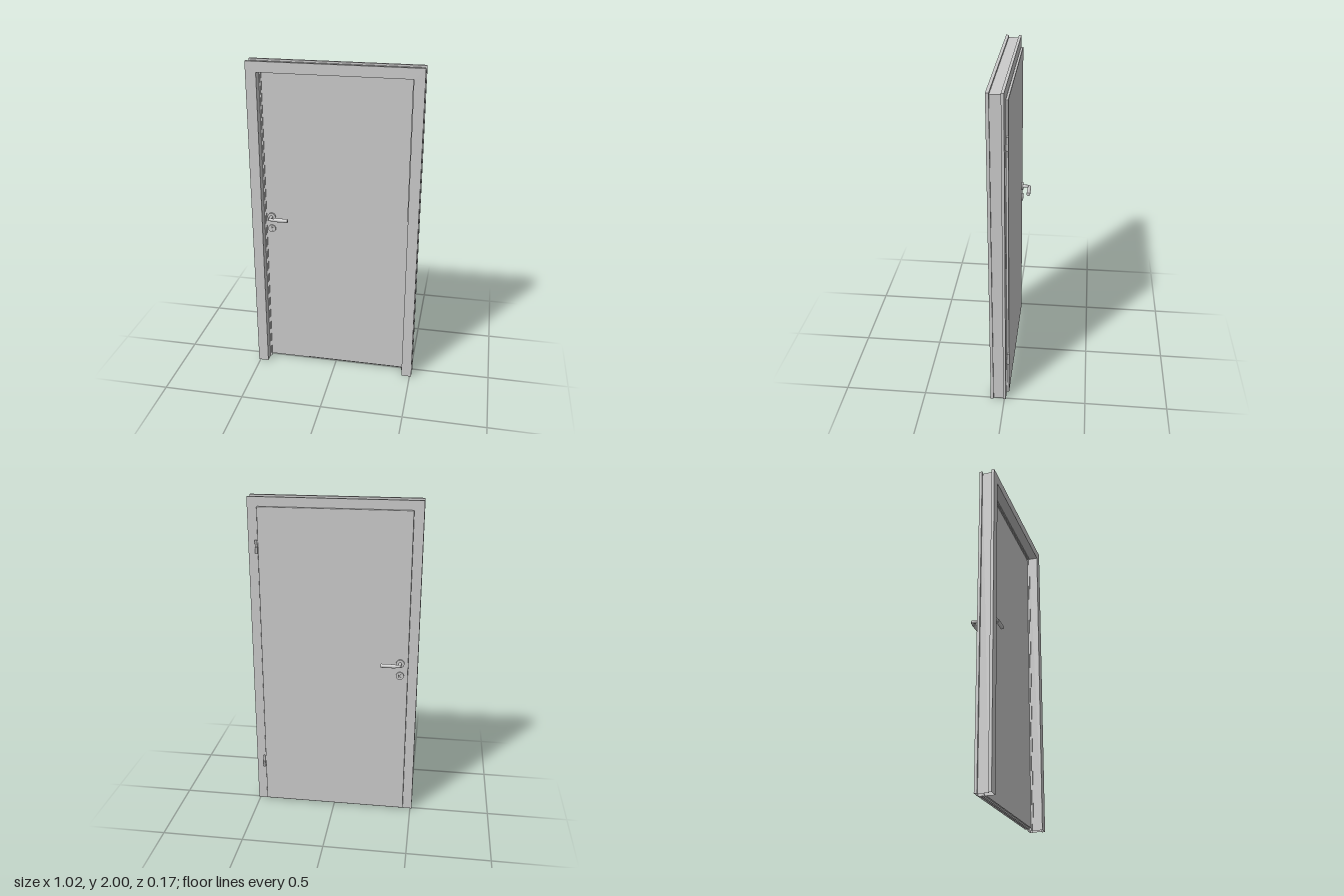
import * as THREE from 'three';
import { RoundedBoxGeometry } from 'three/addons/geometries/RoundedBoxGeometry.js';

const grey = new THREE.MeshStandardMaterial({ color: 0xcccccc });
const sheet = new THREE.MeshStandardMaterial({ color: 0xcccccc, side: THREE.DoubleSide });
const W = 0.51, H = 2;            // outer half width and height of the frame
const BACK = -0.025, FRONT = 0.015; // faces of the leaf

function add(parent, name, geometry, x = 0, y = 0, z = 0, material = grey) {
  const mesh = new THREE.Mesh(geometry, material);
  mesh.name = name;
  mesh.position.set(x, y, z);
  parent.add(mesh);
  return mesh;
}

// Sweeps a closed profile of [inset, z] up one jamb, across the head and down the other
function sweepFrame(profile) {
  const stations = [
    u => [-W + u, 0], u => [-W + u, H - u],
    u => [W - u, H - u], u => [W - u, 0],
  ];
  const pos = [];
  for (let s = 0; s < 3; s++) {
    profile.forEach(([u0, z0], i) => {
      const [u1, z1] = profile[(i + 1) % profile.length];
      const a = [...stations[s](u0), z0], b = [...stations[s + 1](u0), z0];
      const c = [...stations[s + 1](u1), z1], d = [...stations[s](u1), z1];
      pos.push(...a, ...d, ...c, ...a, ...c, ...b);
    });
  }
  const g = new THREE.BufferGeometry();
  g.setAttribute('position', new THREE.Float32BufferAttribute(pos, 3));
  g.computeVertexNormals();
  return g;
}

function pill(path, r, half) {
  path.absarc(0, half, r, 0, Math.PI, false);
  path.absarc(0, -half, r, Math.PI, Math.PI * 2, false);
  path.closePath();
  return path;
}

// Lever, rose and lock escutcheon; s is the direction out of the leaf along z
function furniture(name, face, s) {
  const group = new THREE.Group();
  group.name = name;
  group.position.set(-0.405, 0, face);
  const axial = (part, r, len, y, z) => {
    add(group, part, new THREE.CylinderGeometry(r, r, len, 32), 0, y, s * z).rotation.x = Math.PI / 2;
  };
  axial('leverRose', 0.025, 0.01, 1.025, 0.005);
  axial('leverNeck', 0.0095, 0.046, 1.025, 0.03);

  // rounded elbow into the thicker grip
  const bend = new THREE.CurvePath();
  bend.add(new THREE.QuadraticBezierCurve3(
    new THREE.Vector3(0, 0, s * 0.043), new THREE.Vector3(0, 0, s * 0.052), new THREE.Vector3(0.009, 0, s * 0.052)));
  bend.add(new THREE.LineCurve3(new THREE.Vector3(0.009, 0, s * 0.052), new THREE.Vector3(0.028, 0, s * 0.052)));
  add(group, 'leverElbow', new THREE.TubeGeometry(bend, 16, 0.0095, 20), 0, 1.025, 0);
  const gripProfile = [[0, -0.045], [0.0105, -0.045], [0.012, -0.0435], [0.012, 0.0435], [0.0105, 0.045], [0, 0.045]]
    .map(p => new THREE.Vector2(...p));
  add(group, 'leverGrip', new THREE.LatheGeometry(gripProfile, 28), 0.07, 1.025, s * 0.052).rotation.z = -Math.PI / 2;

  // ring with a lock cylinder set in its slot
  const ring = new THREE.Shape().absarc(0, 0, 0.024, 0, Math.PI * 2, false);
  ring.holes.push(pill(new THREE.Path(), 0.007, 0.006));
  add(group, 'lockEscutcheon', new THREE.ExtrudeGeometry(ring, { depth: 0.009, bevelEnabled: false, curveSegments: 32 }),
    0, 0.945, s > 0 ? 0 : -0.009);
  add(group, 'lockCylinder',
    new THREE.ExtrudeGeometry(pill(new THREE.Shape(), 0.006, 0.006), { depth: 0.011, bevelEnabled: false }),
    0, 0.945, s > 0 ? 0 : -0.011);
  add(group, 'keySlot', new THREE.BoxGeometry(0.0015, 0.008, 0.001), 0, 0.948, s * 0.0112);
  return group;
}

export function createModel() {
  const model = new THREE.Group();
  model.name = 'door';

  // Hollow folded frame, grooved on the outside, with a rebate for the leaf
  add(model, 'frame', sweepFrame([
    [0, 0.085], [0, 0.067], [0.011, 0.067], [0.011, 0.007], [0, 0.007], [0, -0.009],
    [0.064, -0.009], [0.064, 0.017], [0.068, 0.017], [0.068, 0.03], [0.063, 0.03], [0.063, 0.085],
  ]), 0, 0, 0, sheet);
  add(model, 'frameSeal', sweepFrame([
    [0.067, 0.016], [0.073, 0.016], [0.073, 0.023], [0.067, 0.023],
  ]), 0, 0, 0, sheet);

  // Leaf: a body inside the rebate and a wider lip lapping over the frame
  const leaf = new THREE.Group();
  leaf.name = 'leaf';
  model.add(leaf);
  add(leaf, 'leafBody', new THREE.BoxGeometry(0.884, 1.916, 0.034), 0, 0.974, -0.002);
  add(leaf, 'leafLip', new RoundedBoxGeometry(0.904, 1.937, 0.015, 3, 0.004), -0.001, 0.9775, -0.0175);
  add(leaf, 'bottomSeal', new THREE.BoxGeometry(0.88, 0.01, 0.012), 0, 0.012, 0);
  add(leaf, 'latchPlate', new THREE.BoxGeometry(0.002, 0.12, 0.011), -0.4525, 0.98, -0.0175);

  leaf.add(furniture('frontHandle', FRONT, 1), furniture('backHandle', BACK, -1));

  // Two-part hinges on the left edge
  for (const y of [0.285, 1.71]) {
    const hinge = new THREE.Group();
    hinge.name = 'hinge';
    hinge.position.set(0.461, y, -0.02);
    model.add(hinge);
    for (const s of [-1, 1]) {
      add(hinge, 'hingeKnuckle', new THREE.CylinderGeometry(0.0075, 0.0075, 0.039, 20), 0, s * 0.0205, 0);
    }
    add(hinge, 'hingePin', new THREE.CylinderGeometry(0.005, 0.005, 0.078, 16));
    add(hinge, 'leafArm', new THREE.BoxGeometry(0.016, 0.03, 0.005), -0.009, 0.0205, 0.002);
    add(hinge, 'frameArm', new THREE.BoxGeometry(0.005, 0.03, 0.014), 0, -0.0205, 0.007);
  }
  return model;
}
